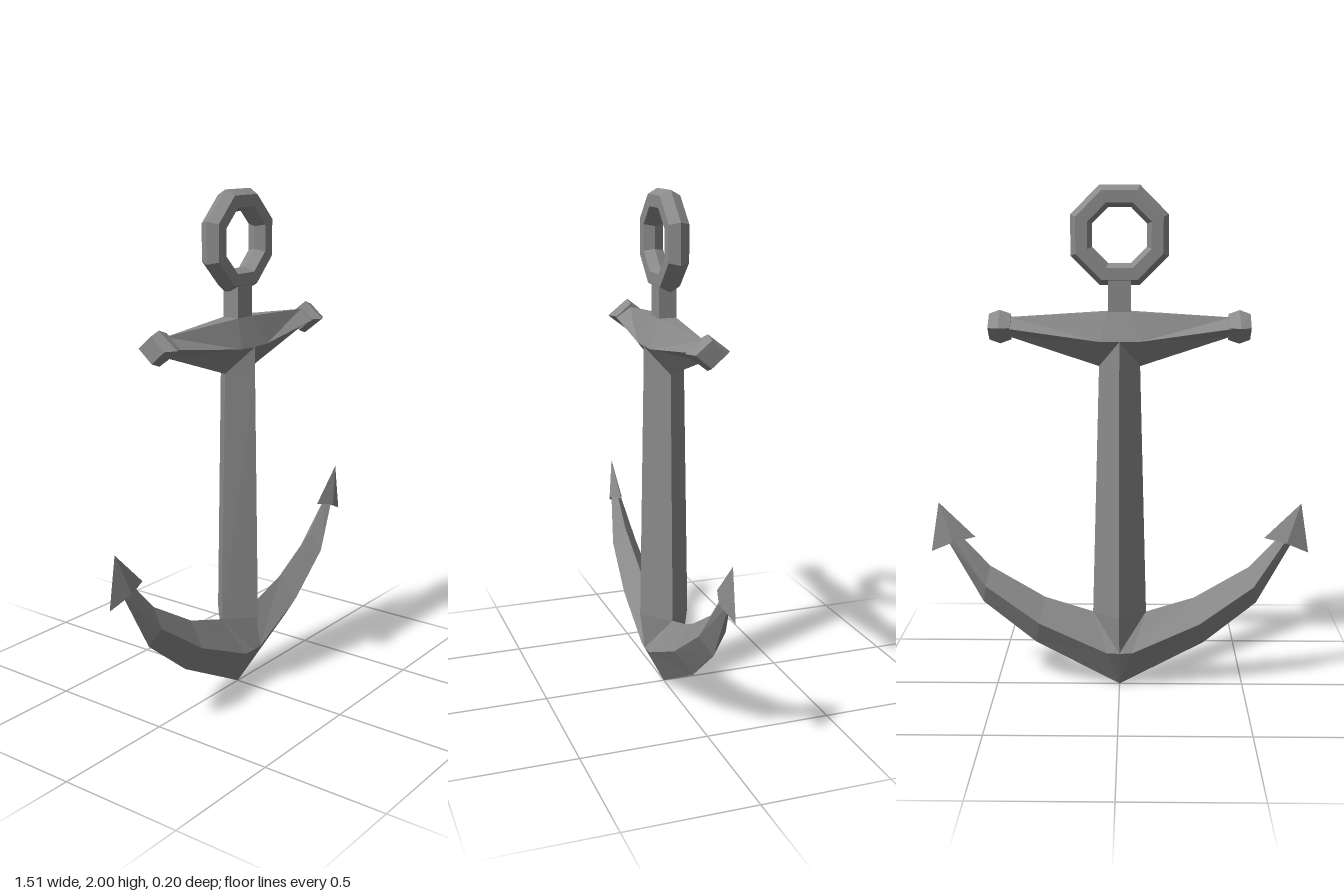
import * as THREE from 'three';

const material = new THREE.MeshStandardMaterial({ color: 0x8b8b8b, flatShading: true });

const v = (x, y, z = 0) => new THREE.Vector3(x, y, z);

function named(name, geometry) {
  const mesh = new THREE.Mesh(geometry, material);
  mesh.name = name;
  return mesh;
}

// Faceted mesh from a list of triangles, dropping any that have collapsed.
function facetMesh(name, triangles) {
  const solid = triangles.filter(([a, b, c]) => new THREE.Triangle(a, b, c).getArea() > 1e-7);
  const geometry = new THREE.BufferGeometry().setFromPoints(solid.flat());
  geometry.computeVertexNormals();
  return named(name, geometry);
}

// Triangles reflected across x = 0, with their corners reversed to stay facing out.
const mirror = (triangles) =>
  triangles.map((corners) => corners.map((p) => v(-p.x, p.y, p.z)).reverse());

// Skin a series of rings and close both ends; rings run anticlockwise seen from the far end.
// The diagonals alternate around the ring so that both sides match.
function loft(rings, parity = 0) {
  const triangles = [];
  const n = rings[0].length;
  for (let i = 0; i < rings.length - 1; i++) {
    for (let j = 0; j < n; j++) {
      const k = (j + 1) % n;
      const [a, b, c, d] = [rings[i][j], rings[i][k], rings[i + 1][k], rings[i + 1][j]];
      if ((j + parity) % 2 === 0) triangles.push([a, b, c], [a, c, d]);
      else triangles.push([a, b, d], [b, c, d]);
    }
  }
  const first = rings[0], last = rings[rings.length - 1];
  for (let j = 1; j < n - 1; j++) {
    triangles.push([first[0], first[j + 1], first[j]], [last[0], last[j], last[j + 1]]);
  }
  return triangles;
}

// Section of the shank: side edges, corners and a ridge front and back.
const shankRing = ([y, side, cornerX, cornerZ, ridge]) => [
  v(side, y), v(cornerX, y, -cornerZ), v(0, y, -ridge), v(-cornerX, y, -cornerZ),
  v(-side, y), v(-cornerX, y, cornerZ), v(0, y, ridge), v(cornerX, y, cornerZ),
];

// Section of a part running along x: top edge or flat, side ridges, bottom edge.
const crossRing = ([top, ridge, bottom, depth, flat = 0]) => [
  v(...top), v(...top, flat), v(...ridge, depth),
  v(...bottom), v(...ridge, -depth), v(...top, -flat),
];

export function createModel() {
  const group = new THREE.Group();
  group.name = 'anchor';

  // Shank, spreading into the arms below and the stock above
  const [foot, base, shoulder, head] = [
    [0.16, 0.05, 0.05, 0.08, 0.083],
    [0.31, 0.107, 0.107, 0, 0.102],
    [1.31, 0.08, 0.08, 0, 0.083],
    [1.412, 0.08, 0.08, 0.079, 0.082],
  ].map(shankRing);
  group.add(facetMesh('shank', [...loft([foot, base]), ...loft([base, shoulder, head], 1)]));

  // Curved arms: [top edge, side ridge, bottom edge, half depth]
  const arm = loft([
    [[0, 0.31], [0, 0.16], [0, 0], 0.082],
    [[0.107, 0.31], [0.05, 0.16], [0, 0], 0.08],
    [[0.30, 0.37], [0.32, 0.28], [0.34, 0.18], 0.07],
    [[0.52, 0.50], [0.535, 0.43], [0.55, 0.35], 0.053],
    [[0.645, 0.635], [0.67, 0.625], [0.693, 0.61], 0.018],
  ].map(crossRing));
  group.add(facetMesh('arms', [...arm, ...mirror(arm)]));

  // Barbed flukes, hollowed towards the arm
  const outline = [v(0.722, 0.762), v(0.578, 0.62), v(0.672, 0.632), v(0.755, 0.56)];
  const front = v(0.665, 0.604, 0.028), back = v(0.665, 0.604, -0.028);
  const fluke = outline.flatMap((p, i) => {
    const q = outline[(i + 1) % outline.length];
    return [[front, p, q], [back, q, p]];
  });
  group.add(facetMesh('leftFluke', fluke), facetMesh('rightFluke', mirror(fluke)));

  // Stock, with a flat top under the neck that narrows to an edge
  const stock = loft([
    [[0, 1.522], [0, 1.413], [0, 1.31], 0.08, 0.035],
    [[0.045, 1.522], [0.08, 1.413], [0.08, 1.31], 0.08, 0.035],
    [[0.43, 1.50], [0.43, 1.46], [0.43, 1.425], 0.06],
  ].map(crossRing));
  group.add(facetMesh('stock', [...stock, ...mirror(stock)]));

  // Knobs on the stock ends: [distance from middle, half height, half depth]
  const knobY = 1.463;
  const knob = loft([[0.42, 0.05, 0.06], [0.463, 0.065, 0.084], [0.505, 0.05, 0.06]].map(([x, h, z]) =>
    crossRing([[x, knobY + h], [x, knobY], [x, knobY - h], z])));
  group.add(facetMesh('leftKnob', knob), facetMesh('rightKnob', mirror(knob)));

  // Neck between stock and ring
  const neck = named('neck', new THREE.BoxGeometry(0.088, 0.14, 0.07));
  neck.position.y = 1.58;
  group.add(neck);

  // Eight-sided ring with a six-sided section: [distance to flat, depth]
  const profile = [
    [0.167, -0.04], [0.188, 0], [0.167, 0.04],
    [0.122, 0.04], [0.105, 0], [0.122, -0.04], [0.167, -0.04],
  ];
  const toCorner = 1 / Math.cos(Math.PI / 8);
  const ringGeometry = new THREE.LatheGeometry(profile.map(([r, z]) => new THREE.Vector2(r * toCorner, z)), 8);
  ringGeometry.rotateY(Math.PI / 8).rotateX(Math.PI / 2);
  const ring = named('ring', ringGeometry);
  ring.position.y = 1.812;
  group.add(ring);

  return group;
}
